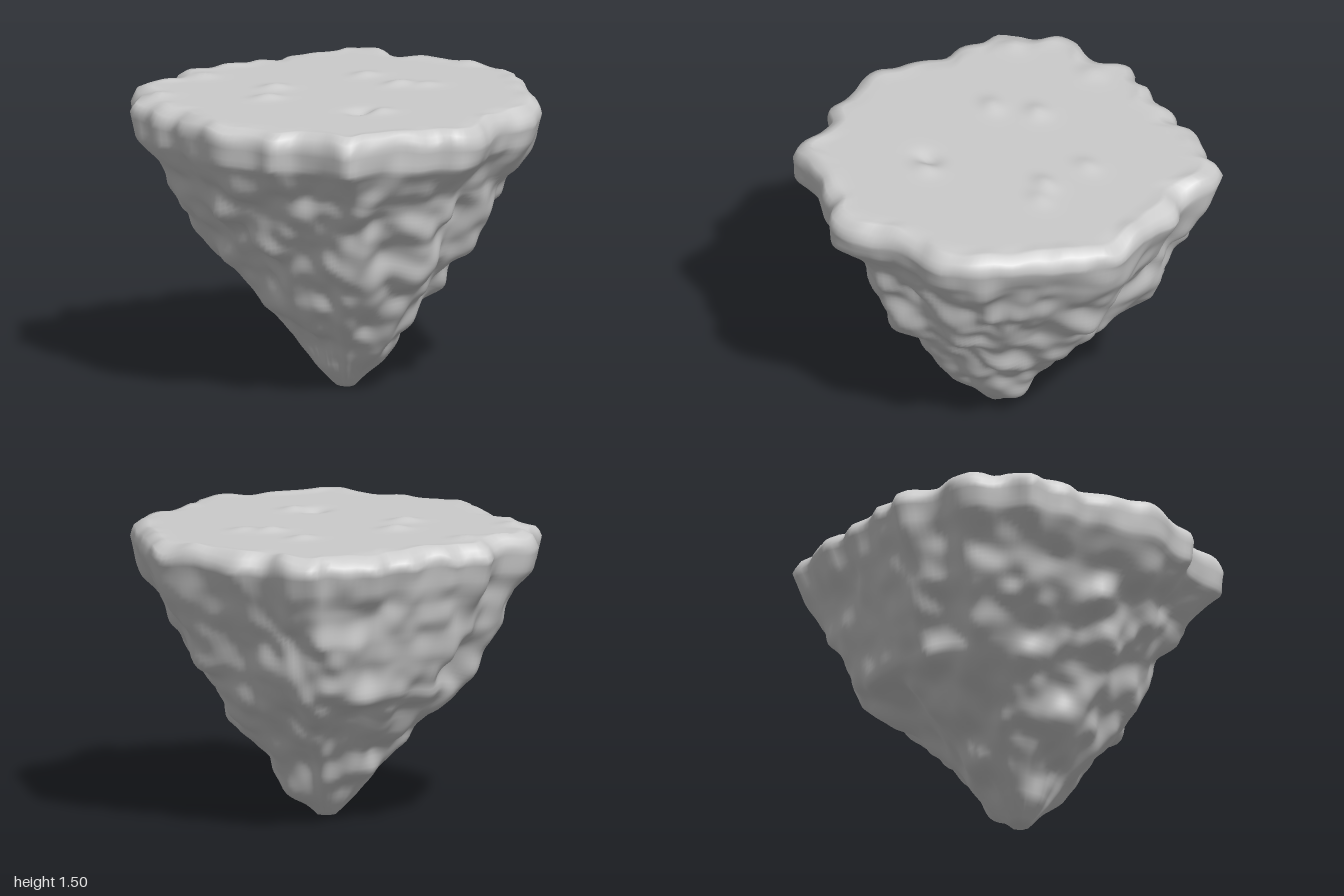
import * as THREE from 'three';

const SEG = 200, SIDE_ROWS = 70, TOP_ROWS = 34, TOP_Y = 1.48;

// rim outline as x, z pairs, counter-clockwise seen from above
const OUTLINE = [
  1.01, -0.09, 0.95, -0.25, 0.87, -0.4, 0.82, -0.54, 0.72, -0.63, 0.69, -0.84, 0.6, -0.94, 0.52, -0.92, 0.43, -0.93,
  0.34, -0.96, 0.25, -0.99, 0.15, -0.95, 0.04, -0.99, -0.09, -0.95, -0.2, -0.99, -0.3, -0.97, -0.4, -1,
  -0.55, -0.86, -0.73, -0.85, -0.82, -0.78, -0.86, -0.66, -0.97, -0.55, -0.95, -0.42, -0.98, -0.33, -0.95, -0.22,
  -0.98, -0.1, -0.97, 0.05, -1, 0.2, -0.87, 0.4, -0.85, 0.51, -0.73, 0.56, -0.67, 0.67, -0.61, 0.86, -0.5, 0.86,
  -0.38, 0.87, -0.22, 0.9, -0.1, 0.92, 0, 0.99, 0.13, 0.95, 0.3, 0.82, 0.45, 0.76, 0.57, 0.74, 0.72, 0.61,
  0.81, 0.45, 0.89, 0.25, 0.96, 0.05,
];

// height, then reach toward -x, +x, +z and -z
const PROFILE = [
  [0, 0.04, 0.05, 0.05, 0.05], [0.1, 0.14, 0.15, 0.15, 0.15], [0.2, 0.19, 0.23, 0.25, 0.25],
  [0.3, 0.27, 0.30, 0.33, 0.31], [0.4, 0.36, 0.39, 0.40, 0.41], [0.5, 0.42, 0.51, 0.47, 0.50],
  [0.6, 0.47, 0.58, 0.56, 0.62], [0.7, 0.54, 0.66, 0.64, 0.74], [0.8, 0.62, 0.72, 0.69, 0.79],
  [0.9, 0.69, 0.78, 0.72, 0.84], [1, 0.77, 0.83, 0.75, 0.88], [1.1, 0.84, 0.88, 0.79, 0.90],
  [1.2, 0.92, 0.93, 0.91, 0.92], [1.28, 0.98, 0.96, 0.98, 0.96], [1.4, 1, 1, 1, 1],
  [1.45, 0.985, 0.98, 0.985, 0.975], [1.48, 0.93, 0.93, 0.94, 0.92],
];

// knobs standing out of the sides: x, y, z
const KNOBS = [
  [-0.78, 1.0, 0], [-0.62, 0.82, 0.1], [-0.4, 0.43, 0], [0.74, 0.87, -0.05], [0.5, 0.56, 0], [0.15, 0.17, 0],
  [0.2, 0.7, -0.72], [0, 0.28, -0.27], [0, 0.66, 0.56], [0.42, 0.9, 0.5], [-0.35, 0.64, 0.4], [-0.15, 0.52, 0.4],
  [-0.1, 0.92, 0.68], [0.2, 0.34, 0.25], [-0.1, 0.45, -0.4], [-0.72, 0.95, -0.07], [-0.5, 0.7, -0.25],
  [-0.45, 0.6, 0.1], [-0.85, 1.18, 0.2], [-0.6, 0.76, 0.38], [-0.35, 1.1, 0.72], [0.3, 1.06, 0.65],
];

// small pits and mounds on the top: x, z, height
const MOUNDS = [
  [-0.24, -0.35, 0.022], [-0.4, -0.18, 0.022], [0.29, -0.33, 0.018], [0.32, -0.07, 0.022], [0.42, 0.02, 0.015],
  [-0.17, 0.32, -0.03], [-0.1, 0.38, 0.02], [-0.4, -0.76, 0.018], [-0.82, -0.55, 0.018],
];

const hash = (x, y, z) => {
  const s = Math.sin(x * 127.1 + y * 311.7 + z * 74.7) * 43758.5453;
  return s - Math.floor(s);
};

// smooth value noise in -1..1
function noise(x, y, z) {
  const cell = [x, y, z].map(Math.floor);
  const [u, v, w] = [x, y, z].map((c, k) => THREE.MathUtils.smoothstep(c - cell[k], 0, 1));
  let sum = 0;
  for (let k = 0; k < 8; k++) {
    const a = k & 1, b = (k >> 1) & 1, c = k >> 2;
    sum += hash(cell[0] + a, cell[1] + b, cell[2] + c) * (a ? u : 1 - u) * (b ? v : 1 - v) * (c ? w : 1 - w);
  }
  return sum * 2 - 1;
}

function profileAt(y) {
  let k = 0;
  while (k < PROFILE.length - 2 && y > PROFILE[k + 1][0]) k++;
  const a = PROFILE[k], b = PROFILE[k + 1], t = (y - a[0]) / (b[0] - a[0]);
  return a.map((v, j) => v + (b[j] - v) * t);
}

function createOutline() {
  const pts = [];
  for (let i = 0; i < OUTLINE.length; i += 2) pts.push(new THREE.Vector3(OUTLINE[i], 0, OUTLINE[i + 1]));
  const curve = new THREE.CatmullRomCurve3(pts, true, 'centripetal');
  curve.arcLengthDivisions = 800;
  return curve.getSpacedPoints(SEG).slice(0, SEG);
}

// averaged outline for the body below the rim
function soften(rim, reach) {
  return rim.map((_, i) => {
    const p = new THREE.Vector3();
    for (let k = -reach; k <= reach; k++) p.add(rim[(i + k + SEG) % SEG]);
    return p.divideScalar(2 * reach + 1);
  });
}

function createRockGeometry() {
  const rim = createOutline(), body = soften(rim, 4);
  const pos = [], index = [];

  // sides, from the tip up to the rim
  for (let r = 0; r <= SIDE_ROWS; r++) {
    const t = r / SIDE_ROWS;
    const y = TOP_Y * (t < 0.9 ? t * 0.97 : 0.873 + (t - 0.9) * 1.27);
    const [, left, right, front, back] = profileAt(y);
    const toRim = THREE.MathUtils.smoothstep(y, 0.95, 1.3);
    const rough = 0.06 * THREE.MathUtils.smoothstep(y, 0, 0.35) * (1 - 0.6 * toRim);
    for (let i = 0; i < SEG; i++) {
      const p = body[i].clone().lerp(rim[i], toRim);
      const len = p.length(), cx = p.x / len, cz = p.z / len;
      const s = cx * cx * (cx > 0 ? right : left) + cz * cz * (cz > 0 ? front : back);
      p.multiplyScalar(s);
      // lumps push outward and sag
      const n = 0.6 * noise(p.x * 5.5 + 9, y * 5 + 3, p.z * 5.5 + 5) + 0.45 * noise(p.x * 10 + 31, y * 8, p.z * 10 + 17);
      let d = n * rough - 0.014 * (1 - toRim) * THREE.MathUtils.smoothstep(y, 0, 0.3);
      for (const [kx, ky, kz] of KNOBS) {
        d += 0.04 * Math.exp(-((p.x - kx) ** 2 + (y - ky) ** 2 + (p.z - kz) ** 2) / 0.009);
      }
      const lift = 0.035 * noise(p.x * 8 + 4, 2.5, p.z * 8) * THREE.MathUtils.smoothstep(y, 1.3, 1.44);
      const fade = r === SIDE_ROWS ? 0.55 : 1;
      pos.push(p.x + cx * d - 0.05 * (1 - y / TOP_Y), Math.max(0, y - d * 0.6 + lift * fade), p.z + cz * d);
    }
  }

  // top surface, from the rim in to the middle
  const edge = pos.slice(-SEG * 3);
  for (let r = 1; r <= TOP_ROWS; r++) {
    const f = 1 - r / TOP_ROWS;
    for (let i = 0; i < SEG; i++) {
      const x = edge[i * 3] * f, z = edge[i * 3 + 2] * f;
      let y = TOP_Y + (edge[i * 3 + 1] - TOP_Y) * Math.max(0, 1 - r / 3);
      for (const [mx, mz, h] of MOUNDS) y += h * Math.exp(-((x - mx) ** 2 / 0.005 + (z - mz) ** 2 / 0.003));
      pos.push(x, y, z);
    }
  }

  for (let r = 0; r < SIDE_ROWS + TOP_ROWS; r++) {
    for (let i = 0; i < SEG; i++) {
      const j = (i + 1) % SEG, a = r * SEG + i, b = r * SEG + j, c = b + SEG, d = a + SEG;
      index.push(a, b, c);
      if (r < SIDE_ROWS + TOP_ROWS - 1) index.push(a, c, d);
    }
  }

  // close the tip
  pos.push(-0.05, 0, 0);
  const tip = pos.length / 3 - 1;
  for (let i = 0; i < SEG; i++) index.push(tip, (i + 1) % SEG, i);

  const geometry = new THREE.BufferGeometry();
  geometry.setAttribute('position', new THREE.Float32BufferAttribute(pos, 3));
  geometry.setIndex(index);
  geometry.computeVertexNormals();
  return geometry;
}

export function createModel() {
  const group = new THREE.Group();
  group.name = 'floatingIsland';
  const rock = new THREE.Mesh(createRockGeometry(), new THREE.MeshStandardMaterial({ color: 0xcccccc }));
  rock.name = 'islandRock';
  group.add(rock);
  return group;
}
